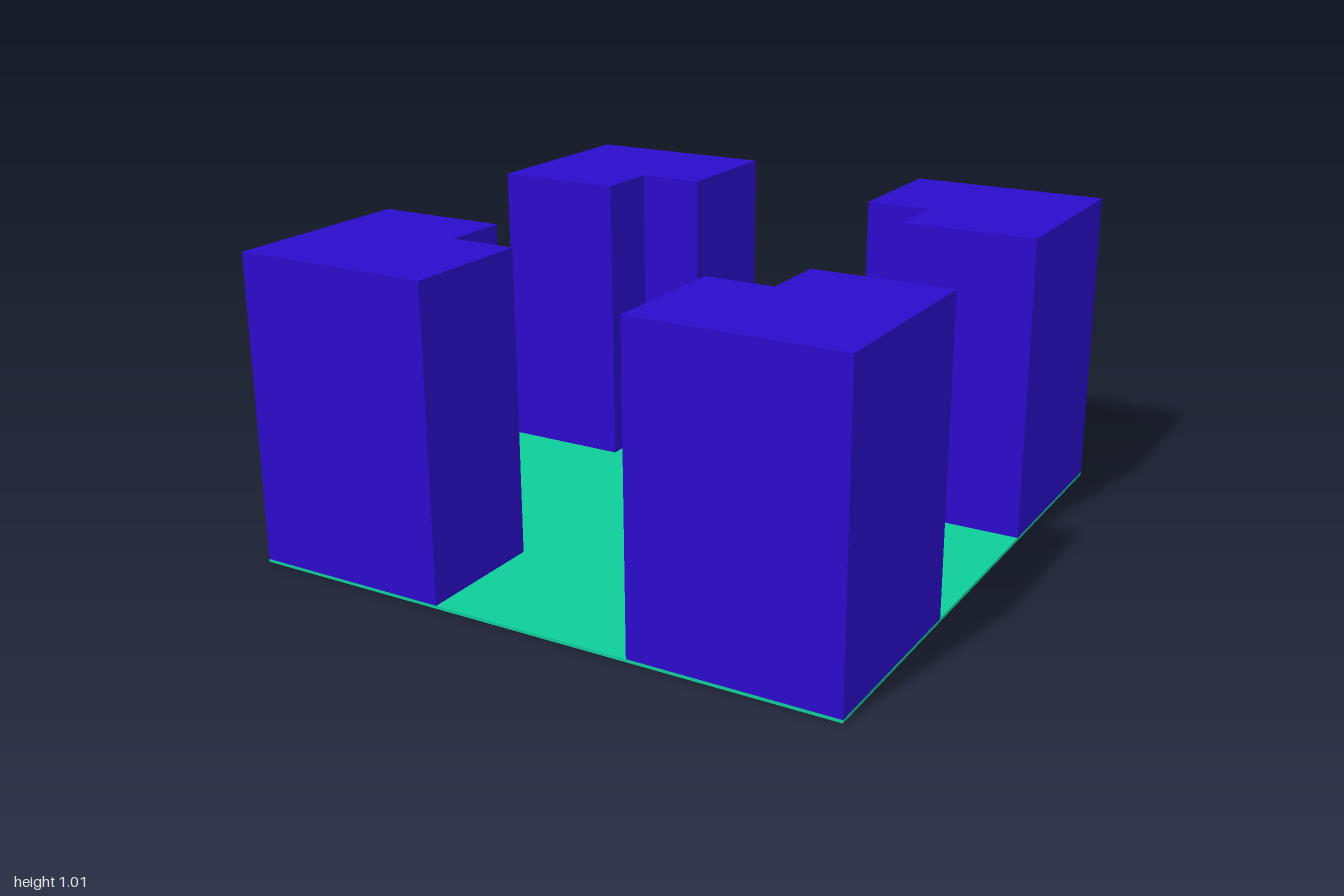
import * as THREE from 'three';

const INNER = 1 / 3;   // inner faces of the towers
const NOTCH = 5 / 9;   // depth of the cut inner corner
const BASE = 0.01;     // slab thickness
const HEIGHT = 1;      // tower height above the slab

export function createModel() {
  const model = new THREE.Group();
  model.name = 'fourTowerCourtyard';

  const green = new THREE.MeshStandardMaterial({ color: 0x0fcc99 });
  const blue = new THREE.MeshStandardMaterial({ color: 0x2b0bcb });

  // Thin square ground slab
  const slab = new THREE.Mesh(new THREE.BoxGeometry(2, BASE, 2), green);
  slab.name = 'groundSlab';
  slab.position.y = BASE / 2;
  model.add(slab);

  // L-shaped tower plan: a square with its inner corner cut out
  const plan = new THREE.Shape([
    [NOTCH, INNER], [1, INNER], [1, 1], [INNER, 1], [INNER, NOTCH], [NOTCH, NOTCH],
  ].map(([x, y]) => new THREE.Vector2(x, y)));
  const towerGeometry = new THREE.ExtrudeGeometry(plan, { depth: HEIGHT, bevelEnabled: false });
  towerGeometry.rotateX(-Math.PI / 2);
  towerGeometry.translate(0, BASE, 0);

  // One tower in each corner, turned a quarter each time
  ['backLeftTower', 'backRightTower', 'frontRightTower', 'frontLeftTower'].forEach((name, i) => {
    const tower = new THREE.Mesh(towerGeometry, blue);
    tower.name = name;
    tower.rotation.y = i * Math.PI / 2;
    model.add(tower);
  });

  return model;
}
